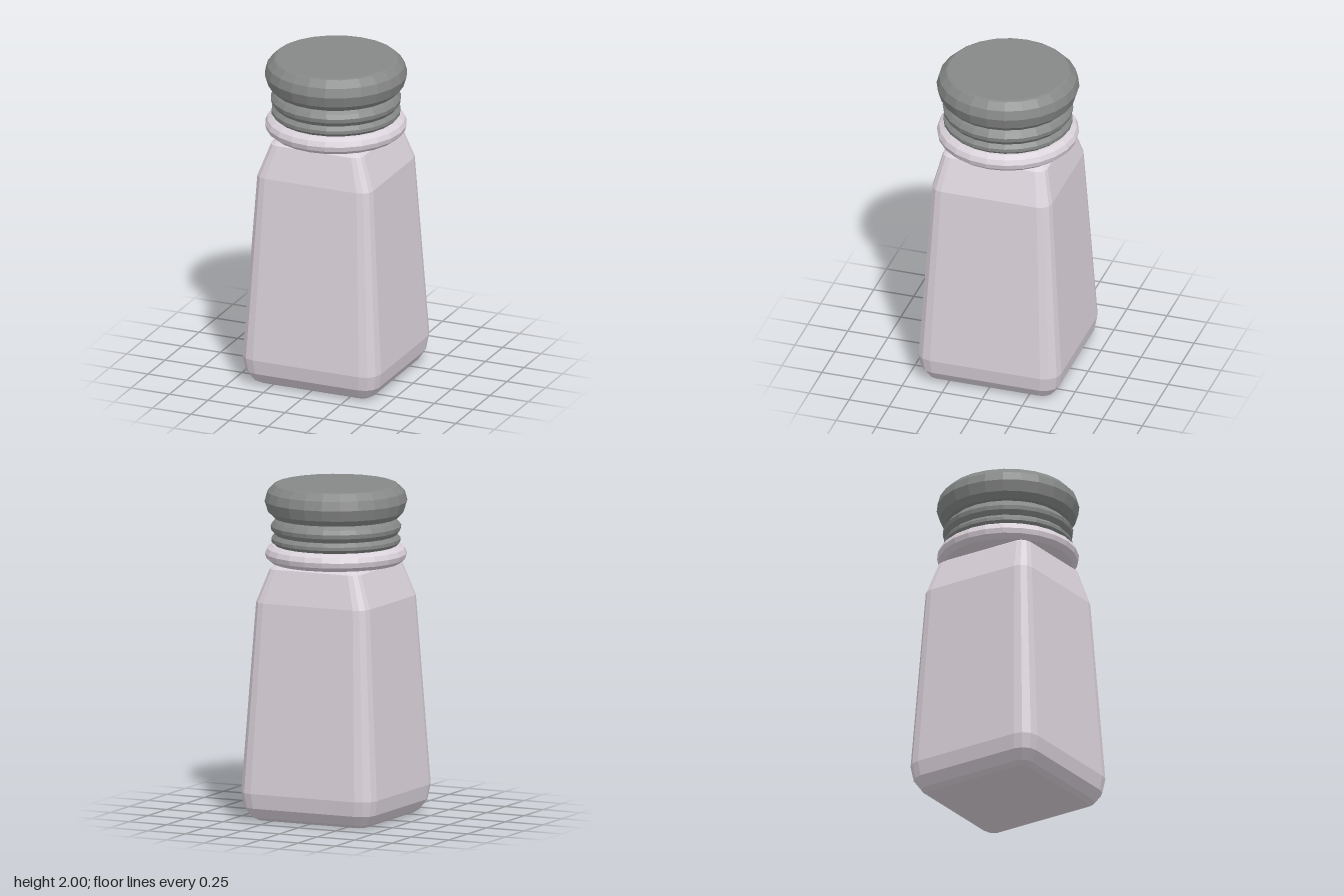
import * as THREE from 'three';

const paint = (name, color) => {
  const m = new THREE.MeshStandardMaterial({ color, flatShading: true });
  m.name = name;
  return m;
};

// Rounded rectangle outline in the xz plane: four points on every corner
function outline(hx, hz, r) {
  const pts = [];
  for (let q = 0; q < 4; q++) {
    const sx = q === 0 || q === 3 ? 1 : -1;
    const sz = q < 2 ? 1 : -1;
    for (let k = 0; k < 4; k++) {
      const a = (q + k / 3) * Math.PI / 2;
      pts.push([sx * (hx - r) + r * Math.cos(a), sz * (hz - r) + r * Math.sin(a)]);
    }
  }
  return pts;
}

// Skin over stacked sections [y, halfX, halfZ, cornerRadius], closed at both ends
function loft(sections) {
  const pos = [], idx = [], n = 16;
  for (const [y, hx, hz, r] of sections)
    for (const [x, z] of outline(hx, hz, r)) pos.push(x, y, z);
  const last = sections.length - 1;
  for (let i = 0; i < last; i++)
    for (let j = 0; j < n; j++) {
      const a = i * n + j, b = i * n + (j + 1) % n;
      idx.push(a, a + n, b, b, a + n, b + n);
    }
  for (let j = 1; j < n - 1; j++) {
    idx.push(0, j, j + 1);
    idx.push(last * n, last * n + j + 1, last * n + j);
  }
  const g = new THREE.BufferGeometry();
  g.setAttribute('position', new THREE.Float32BufferAttribute(pos, 3));
  g.setIndex(idx);
  const flat = g.toNonIndexed();
  flat.computeVertexNormals();
  return flat;
}

// Faceted turned part from [radius, y] points, bottom to top
const turned = (pts) =>
  new THREE.LatheGeometry(pts.map(([r, y]) => new THREE.Vector2(r, y)), 24);

export function createModel() {
  const group = new THREE.Group();
  const glass = paint('pale glass', 0xdad2da);
  const metal = paint('grey metal', 0x868887);

  const add = (name, geometry, material) => {
    const mesh = new THREE.Mesh(geometry, material);
    mesh.name = name;
    group.add(mesh);
  };

  // Tapered square jar with softened corners
  add('jarBody', loft([
    [0, 0.355, 0.355, 0.04],
    [0.02, 0.39, 0.39, 0.07],
    [0.08, 0.43, 0.43, 0.095],
    [0.17, 0.445, 0.445, 0.1],
    [1.31, 0.373, 0.373, 0.075],
    [1.51, 0.3, 0.325, 0.06],
    [1.53, 0.27, 0.295, 0.05],
  ]), glass);

  // Bulging collar at the top of the jar
  add('collar', turned([
    [0, 1.525], [0.385, 1.53], [0.415, 1.555], [0.423, 1.585],
    [0.41, 1.615], [0.38, 1.635], [0, 1.64],
  ]), glass);

  // Two ridges below the lid
  add('lowerRidge', turned([
    [0, 1.63], [0.365, 1.635], [0.385, 1.655], [0.385, 1.675], [0.36, 1.7], [0, 1.7],
  ]), metal);
  add('upperRidge', turned([
    [0, 1.69], [0.36, 1.695], [0.385, 1.725], [0.389, 1.75], [0.37, 1.775], [0.335, 1.805], [0, 1.81],
  ]), metal);

  // Rounded lid with a flat top
  add('lid', turned([
    [0, 1.8], [0.37, 1.8], [0.405, 1.835], [0.425, 1.9], [0.41, 1.955],
    [0.37, 1.995], [0.357, 2], [0, 2],
  ]), metal);

  return group;
}
